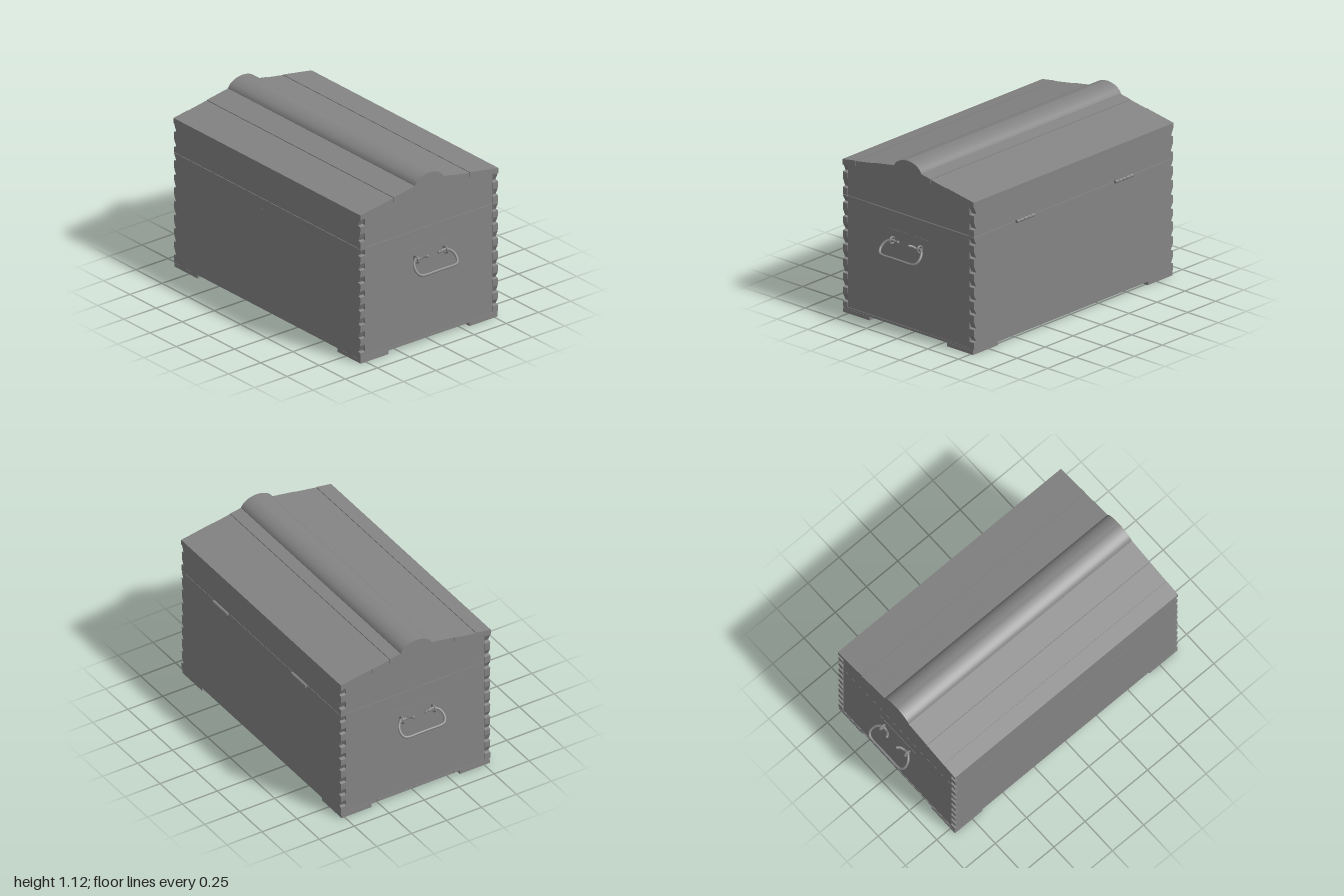
import * as THREE from 'three';
import { toCreasedNormals } from 'three/addons/utils/BufferGeometryUtils.js';

const mat = new THREE.MeshStandardMaterial({ color: 0x848484 });
const V = (x, y, z) => new THREE.Vector3(x, y, z);

export function createModel() {
  const root = new THREE.Group();
  const add = (name, geo, x = 0, y = 0, z = 0) => {
    const m = new THREE.Mesh(geo, mat);
    m.name = name;
    m.position.set(x, y, z);
    root.add(m);
  };
  const box = (name, x0, x1, y0, y1, z0, z1) =>
    add(name, new THREE.BoxGeometry(x1 - x0, y1 - y0, z1 - z0), (x0 + x1) / 2, (y0 + y1) / 2, (z0 + z1) / 2);
  const extrude = (pts, depth) => new THREE.ExtrudeGeometry(
    new THREE.Shape(pts.map(p => new THREE.Vector2(p[0], p[1]))), { depth, bevelEnabled: false });
  // Outline given as [z, y], running along x from x0 to x1
  const extrudeX = (name, pts, x0, x1, crease) => {
    const g = extrude(pts, x1 - x0).rotateY(-Math.PI / 2);
    add(name, crease ? toCreasedNormals(g, crease) : g, x1);
  };

  let seed = 7;
  const rand = () => (seed = (seed * 16807) % 2147483647) / 2147483647;

  // Rough, wedge-cut joint edge, bottom to top, as [x, y]
  const joint = (y0, y1, n) => {
    const p = (y1 - y0) / n, out = [];
    for (let i = 0; i < n; i++) {
      const lo = y0 + (i + 0.35 + 0.12 * rand()) * p, hi = lo + (0.42 + 0.12 * rand()) * p;
      const deep = 0.866 + 0.006 * rand();
      out.push([0.89, lo], [deep, lo + 0.06 * p], [0.888, hi]);
    }
    return out;
  };

  // Walls of the chest and of the lid; top lists the gable points of the end walls
  const wall = 0.038, zF = 0.543, zB = -0.525, zi = zF - wall, zj = zB + wall;
  const section = (label, y0, y1, n, top) => {
    for (const [side, z] of [['Front', zi], ['Back', zB]])
      add(label + side, extrude([[-0.89, y0], [0.89, y0], ...joint(y0, y1, n), [0.89, y1], [-0.89, y1],
        ...joint(y0, y1, n).reverse().map(([x, y]) => [-x, y])], wall), 0, 0, z);
    for (const [side, x] of [['Left', 0.85], ['Right', -0.885]])
      extrudeX(label + side, [[zj, y0], [zi, y0], [zi, y1], ...top, [zj, y1]], x, x + 0.035);
  };
  section('chest', 0.037, 0.7585, 8, []);
  section('lid', 0.7615, 0.962, 2, [[0.12, 1.03], [-0.1, 1.03]]);

  // Bottom boards
  const cuts = [-0.523, -0.26, 0.0, 0.28, 0.541];
  for (let i = 0; i < 4; i++)
    box('bottomBoard', -0.888, 0.888, 0.023, 0.038, cuts[i] + 0.001, cuts[i + 1] - 0.001);

  // Corner feet
  for (const s of [-1, 1]) for (const [z0, z1] of [[0.325, 0.541], [-0.52, -0.305]])
    box('foot', s * 0.78 - 0.11, s * 0.78 + 0.11, 0, 0.024, z0, z1);

  // Sloping lid boards, each a little crooked in height
  const roof = (eave, ridge, splits) => {
    const yAt = z => 0.988 + 0.072 * (eave - z) / (eave - ridge);
    for (let i = 0; i + 1 < splits.length; i++) {
      const a = splits[i] - (i ? 0.002 * Math.sign(eave) : 0), b = splits[i + 1];
      const low = 0.003 * (i % 2);
      const pts = [[a, yAt(a) - 0.034], [a, yAt(a) - low], [b, yAt(b) - low], [b, yAt(b) - 0.034]];
      extrudeX('lidBoard', pts, -0.893, 0.893);
    }
  };
  roof(0.545, 0.12, [0.545, 0.44, 0.288, 0.1]);
  roof(-0.527, -0.1, [-0.527, -0.305, -0.178, -0.08]);

  // Rounded ridge beam
  const crown = new THREE.SplineCurve([[0.122, 1.06], [0.105, 1.085], [0.065, 1.108], [0.01, 1.118],
    [-0.045, 1.108], [-0.083, 1.085], [-0.1, 1.06]].map(p => new THREE.Vector2(...p)));
  extrudeX('ridgeBeam', [[-0.1, 1.022], [0.122, 1.022], ...crown.getPoints(18).reverse().map(p => [p.x, p.y]).reverse()],
    -0.893, 0.893, 0.6);

  // Side handles: back plate, two eyes and a hanging bail with curled ends
  const zc = 0.012;
  const arm = [[0.932, 0.588, 0.046], [0.916, 0.584, 0.058], [0.905, 0.572, 0.082], [0.905, 0.578, 0.113],
    [0.925, 0.57, 0.142], [0.947, 0.55, 0.156], [0.97, 0.526, 0.156], [0.986, 0.509, 0.141],
    [0.991, 0.504, 0.115], [0.991, 0.504, 0.04]];
  for (const s of [-1, 1]) {
    box('handlePlate', s * 0.885 - 0.002, s * 0.885 + 0.002, 0.49, 0.64, zc - 0.163, zc + 0.163);
    const path = [...arm.map(([x, y, z]) => V(s * x, y, zc + z)),
      ...arm.slice().reverse().map(([x, y, z]) => V(s * x, y, zc - z))];
    add('handleBail', new THREE.TubeGeometry(new THREE.CatmullRomCurve3(path), 110, 0.0085, 8));
    for (const e of [-1, 1]) {
      add('handleEye', new THREE.TorusGeometry(0.021, 0.006, 8, 18), s * 0.909, 0.578, zc + e * 0.113);
      const [x, y, z] = arm[0];
      add('handleTip', new THREE.SphereGeometry(0.0095, 10, 8), s * x, y, zc + e * z);
    }
  }

  // Hinge knuckles at the back
  for (const s of [-1, 1]) for (let i = 0; i < 5; i++)
    add('hingeKnuckle', toCreasedNormals(new THREE.CylinderGeometry(0.01, 0.01, 0.03, 12).rotateZ(Math.PI / 2), 0.7),
      s * 0.44 + (i - 2) * 0.032, 0.761, -0.535);

  // Keyhole plug
  add('keyhole', new THREE.CylinderGeometry(0.008, 0.008, 0.004, 10).rotateX(Math.PI / 2), -0.052, 0.683, zF);
  return root;
}
